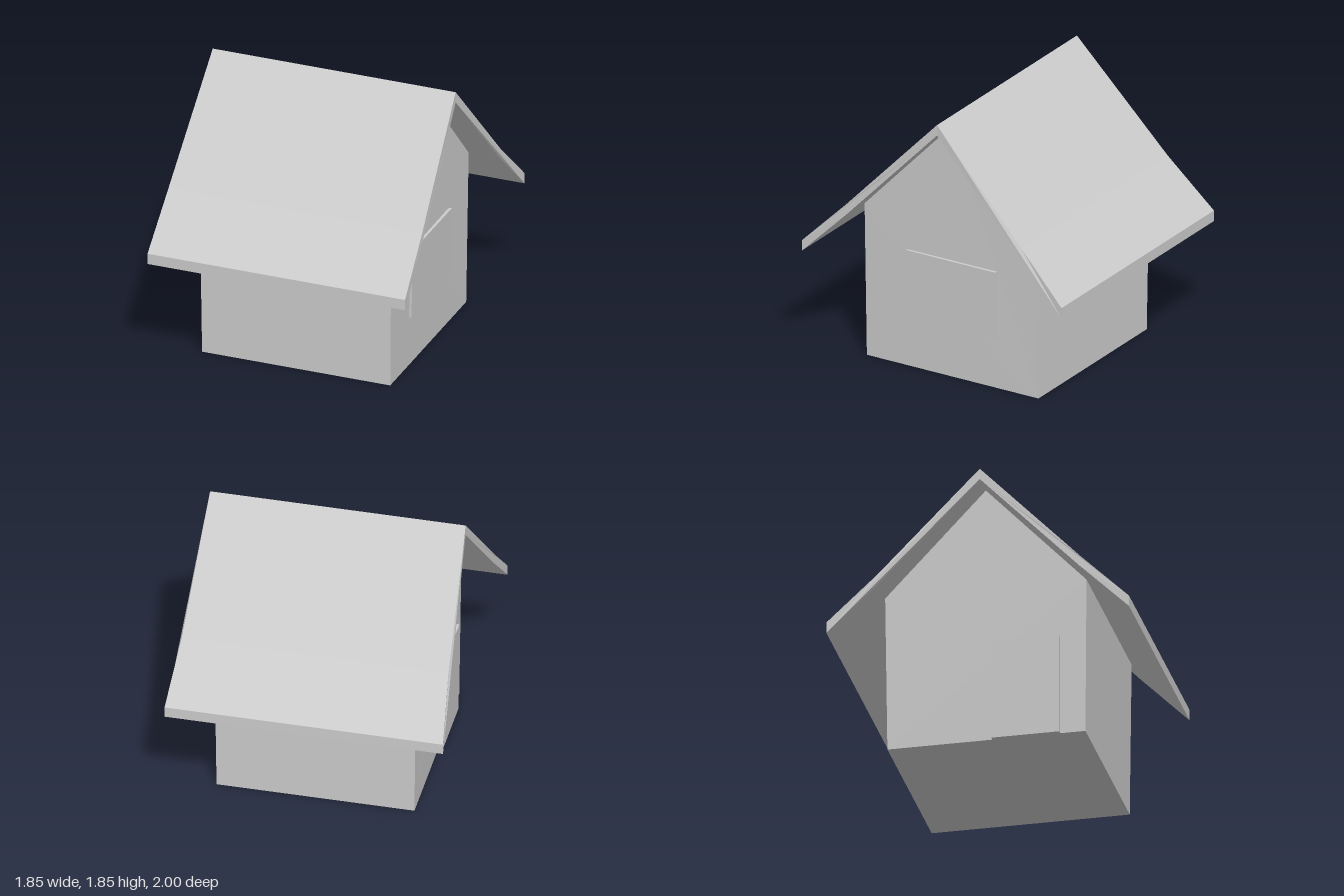
import * as THREE from 'three';

const material = new THREE.MeshStandardMaterial({ color: 0xcccccc, flatShading: true });

// Extrude a [z, y] outline along x, then set each end's distance from the centre by halfWidth(y, z).
function profileMesh(name, outline, halfWidth) {
  const shape = new THREE.Shape(outline.map(([z, y]) => new THREE.Vector2(z, y)));
  const geometry = new THREE.ExtrudeGeometry(shape, { depth: 2, bevelEnabled: false });
  geometry.rotateY(-Math.PI / 2).translate(1, 0, 0);
  const p = geometry.attributes.position;
  for (let i = 0; i < p.count; i++) {
    p.setX(i, Math.sign(p.getX(i)) * halfWidth(p.getY(i), p.getZ(i)));
  }
  geometry.computeVertexNormals();
  const mesh = new THREE.Mesh(geometry, material);
  mesh.name = name;
  return mesh;
}

// Walls lean outwards slightly up to the eaves.
const wallX = (y) => 0.656 + 0.012 * Math.min(y / 1.07, 1);

// Thin panel lying on a gable wall and following its lean.
function wallPanel(name, side, [z0, z1], [y0, y1], proud) {
  const geometry = new THREE.BoxGeometry(1, y1 - y0, z1 - z0);
  geometry.translate(0, (y0 + y1) / 2, (z0 + z1) / 2);
  const p = geometry.attributes.position;
  for (let i = 0; i < p.count; i++) {
    const outer = p.getX(i) * side > 0;
    p.setX(i, side * (wallX(p.getY(i)) + (outer ? proud : -0.005)));
  }
  geometry.computeVertexNormals();
  const mesh = new THREE.Mesh(geometry, material);
  mesh.name = name;
  return mesh;
}

// Roof ends flare towards the eaves, more strongly at the back.
function roofX(y, z) {
  const d = Math.abs(z);
  if (d <= 0.67) return 0.847 + (0.037 * d) / 0.67;
  return 0.884 + ((z < 0 ? 0.039 : 0.014) * (d - 0.67)) / 0.33;
}

export function createModel() {
  const house = new THREE.Group();
  house.name = 'house';

  // Walls with gables
  house.add(profileMesh('walls',
    [[-0.655, 0], [0.657, 0], [0.667, 1.073], [0, 1.776], [-0.667, 1.073]], wallX));

  // Gabled roof slab, slightly shallower beyond the walls
  const top = [[1, 0.82], [0.67, 1.147], [0, 1.85], [-0.67, 1.147], [-1, 0.82]];
  const underside = top.map(([z, y]) => [z, y - 0.074]).reverse();
  house.add(profileMesh('roof', [...top, ...underside], roofX));

  // Window on the left gable, door on the right gable
  house.add(wallPanel('window', 1, [-0.34, 0.34], [0.345, 0.825], 0.017));
  house.add(wallPanel('door', -1, [0.04, 0.49], [0, 0.68], 0.031));

  return house;
}
